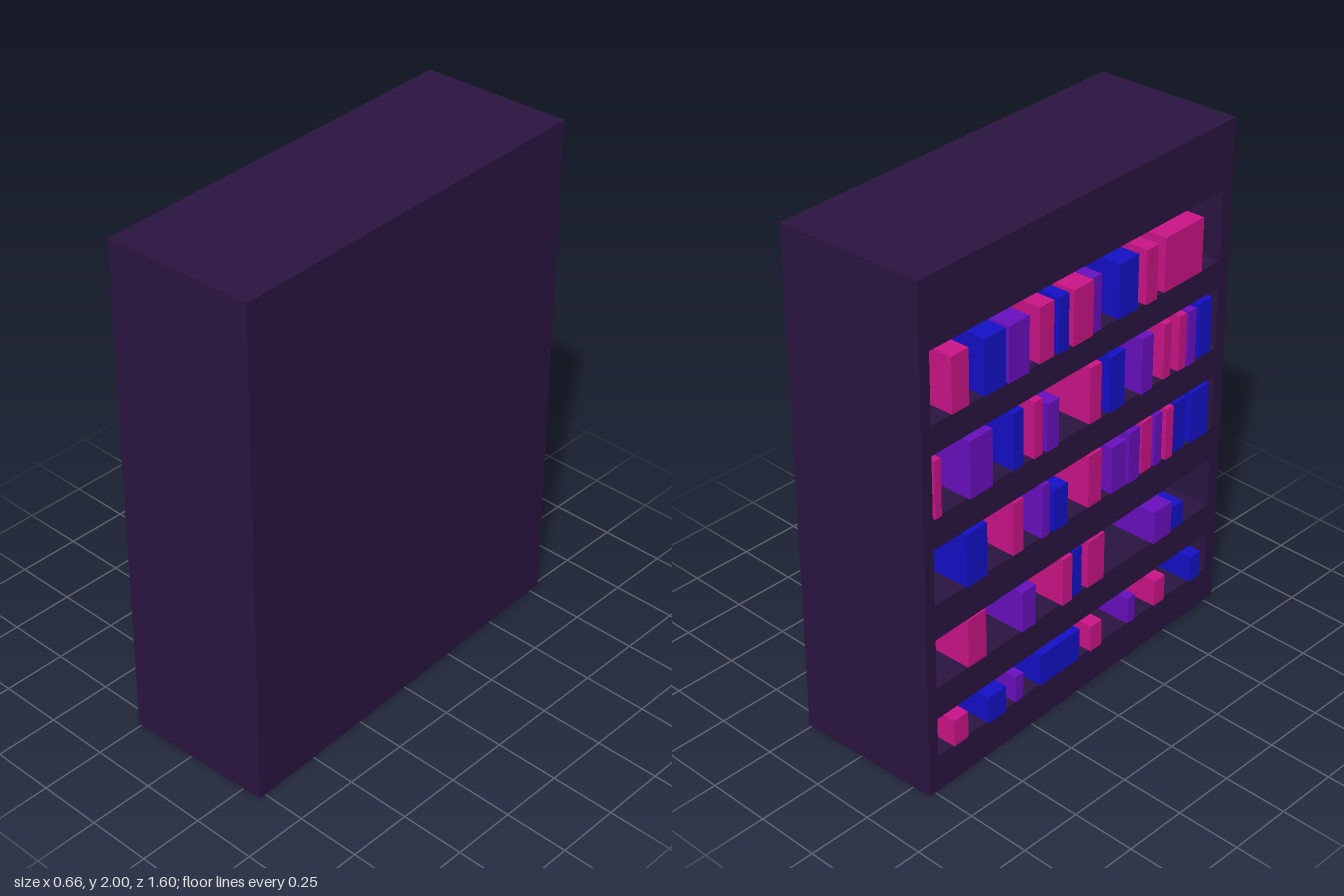
import * as THREE from 'three';

const W = 0.59, H = 2, L = 1.58, RECESS = 0.2;
const COLORS = { M: 0xcc1488, B: 0x1410c8, P: 0x6a10c0 };

// Each shelf: opening bottom and top, book height, books as [colour, z start, z end, height factor]
const SHELVES = [
  { y0: 1.47, y1: 1.74, h: 0.21, books: [
    ['M', -0.65, -0.57], ['B', -0.50, -0.40], ['P', -0.39, -0.29], ['M', -0.23, -0.16], ['B', -0.14, -0.09],
    ['M', -0.07, 0.03], ['P', 0.03, 0.08], ['B', 0.17, 0.27], ['M', 0.31, 0.37], ['M', 0.42, 0.63]] },
  { y0: 1.12, y1: 1.36, h: 0.22, books: [
    ['M', -0.74, -0.71], ['P', -0.58, -0.47], ['B', -0.36, -0.31], ['M', -0.26, -0.22], ['P', -0.20, -0.14, 0.85],
    ['M', 0.03, 0.09], ['B', 0.13, 0.21], ['P', 0.30, 0.36], ['M', 0.43, 0.47], ['M', 0.51, 0.55],
    ['P', 0.56, 0.60], ['B', 0.63, 0.70]] },
  { y0: 0.78, y1: 1.0, h: 0.21, books: [
    ['B', -0.60, -0.50], ['M', -0.36, -0.31], ['P', -0.22, -0.18], ['B', -0.16, -0.09, 0.8], ['M', 0.03, 0.10],
    ['P', 0.15, 0.23, 0.9], ['P', 0.24, 0.30], ['M', 0.32, 0.38], ['P', 0.39, 0.43], ['M', 0.45, 0.49],
    ['B', 0.50, 0.57], ['B', 0.60, 0.70]] },
  { y0: 0.44, y1: 0.64, h: 0.195, books: [
    ['M', -0.59, -0.50], ['P', -0.32, -0.25, 0.85], ['M', -0.11, -0.06], ['B', -0.05, 0.0], ['M', 0.03, 0.12],
    ['P', 0.40, 0.50, 0.7], ['B', 0.51, 0.58, 0.5]] },
  { y0: 0.15, y1: 0.31, h: 0.11, books: [
    ['M', -0.67, -0.60], ['B', -0.50, -0.41], ['P', -0.35, -0.31], ['B', -0.22, -0.01, 1.2], ['M', 0.05, 0.11],
    ['P', 0.27, 0.31], ['M', 0.42, 0.48], ['B', 0.63, 0.69]] },
];

const rect = (C, x0, y0, x1, y1) => {
  const s = new C();
  s.moveTo(x0, y0);
  s.lineTo(x1, y0);
  s.lineTo(x1, y1);
  s.lineTo(x0, y1);
  s.closePath();
  return s;
};

function box(name, material, x0, x1, y0, y1, z0, z1) {
  const mesh = new THREE.Mesh(new THREE.BoxGeometry(x1 - x0, y1 - y0, z1 - z0), material);
  mesh.position.set((x0 + x1) / 2, (y0 + y1) / 2, (z0 + z1) / 2);
  mesh.name = name;
  return mesh;
}

export function createModel() {
  const model = new THREE.Group();
  model.name = 'bookcase';
  const wood = new THREE.MeshStandardMaterial({ color: 0x2b1542 });
  const covers = {};
  for (const key in COLORS) covers[key] = new THREE.MeshStandardMaterial({ color: COLORS[key] });

  // Solid body behind the shelves
  const backX = -W / 2 + RECESS;
  model.add(box('caseBody', wood, backX, W / 2, 0, H, -L / 2, L / 2));

  // Shelf frame with one opening per shelf, facing -x
  const face = rect(THREE.Shape, -L / 2, 0, L / 2, H);
  for (const s of SHELVES) face.holes.push(rect(THREE.Path, -0.745, s.y0, 0.735, s.y1));
  const frame = new THREE.Mesh(
    new THREE.ExtrudeGeometry(face, { depth: RECESS, bevelEnabled: false }), wood);
  frame.rotation.y = -Math.PI / 2;
  frame.position.x = backX;
  frame.name = 'shelfFrame';
  model.add(frame);

  // Rows of books, some standing slightly proud of the frame
  SHELVES.forEach((s, row) => {
    const books = new THREE.Group();
    books.name = 'bookRow' + (row + 1);
    s.books.forEach(([color, z0, z1, k = 1], i) => {
      const proud = 0.003 + 0.004 * ((i + row) % 3);
      books.add(box('book', covers[color], -W / 2 - proud, backX, s.y0, s.y0 + s.h * k, z0, z1));
    });
    model.add(books);
  });

  // The case stands slightly turned
  model.rotation.y = 0.041;
  const root = new THREE.Group();
  root.add(model);
  return root;
}
